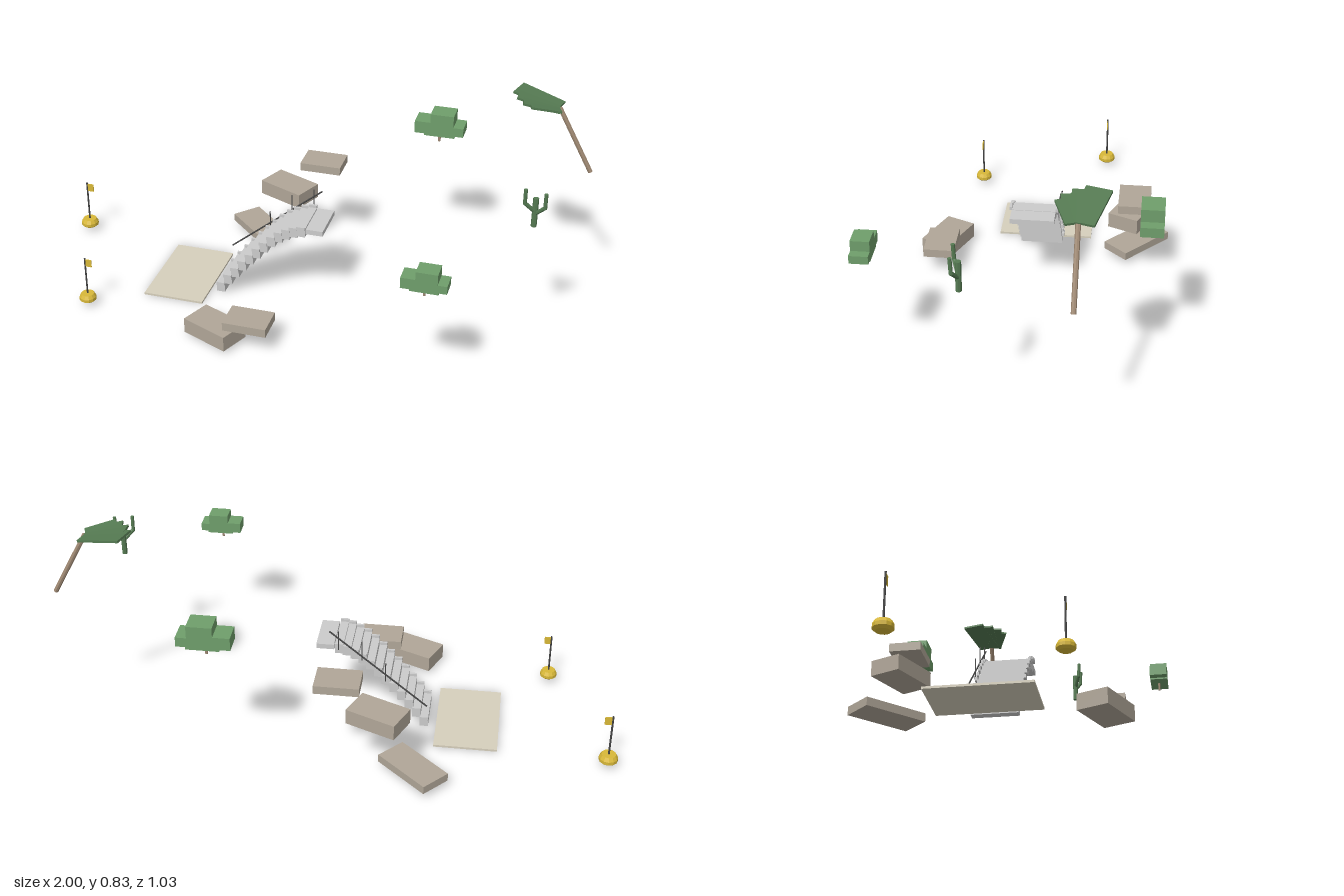
import * as THREE from 'three';

const mat = (color) => new THREE.MeshStandardMaterial({ color, flatShading: true });
const stone = mat(0xcccccc), sand = mat(0xd6cfbc), rockMat = mat(0xb0a698);
const leaf = mat(0x6f9e6b), darkLeaf = mat(0x557a52), bark = mat(0xa08a74);
const metal = mat(0x444444), yellow = mat(0xd8b838);

function add(parent, name, geometry, material, x, y, z) {
  const mesh = new THREE.Mesh(geometry, material);
  mesh.name = name;
  mesh.position.set(x, y, z);
  parent.add(mesh);
  return mesh;
}

// Box given by its centre in x and z and its bottom and top in y
function box(parent, name, material, x, z, y0, y1, w, d, yaw = 0) {
  const mesh = add(parent, name, new THREE.BoxGeometry(w, y1 - y0, d), material, x, (y0 + y1) / 2, z);
  mesh.rotation.y = yaw;
  return mesh;
}

// Straight round bar between two points
function bar(parent, name, material, a, b, r, sides = 8) {
  const p = new THREE.Vector3(...a), q = new THREE.Vector3(...b);
  const dir = q.clone().sub(p), mid = p.clone().add(q).multiplyScalar(0.5);
  const mesh = add(parent, name, new THREE.CylinderGeometry(r, r, dir.length(), sides), material, mid.x, mid.y, mid.z);
  mesh.quaternion.setFromUnitVectors(new THREE.Vector3(0, 1, 0), dir.normalize());
  return mesh;
}

function subgroup(parent, name, x = 0, y = 0, z = 0, scale = 1) {
  const g = new THREE.Group();
  g.name = name;
  g.position.set(x, y, z);
  g.scale.setScalar(scale);
  parent.add(g);
  return g;
}

// Flight of block steps that flattens towards the top, with a handrail
function addStairs(root) {
  const g = subgroup(root, 'stairs');
  const tops = [0.042, 0.08, 0.115, 0.15, 0.183, 0.214, 0.245, 0.274, 0.298, 0.315, 0.328, 0.335];
  const zMid = -0.024;
  tops.forEach((top, i) => {
    const x = -0.3 + 0.0285 * i;
    box(g, 'step', stone, x, zMid, top - 0.034, top, 0.031, 0.16);
    for (const side of [-1, 1])
      box(g, 'stepCurb', stone, x, zMid + side * 0.084, top - 0.003, top + 0.01, 0.03, 0.009);
    if (i === 5 || i === 8 || i === 11)
      bar(g, 'railPost', metal, [x, top - 0.01, -0.119], [x, top + 0.068, -0.119], 0.002, 6);
  });
  box(g, 'landing', stone, 0.064, zMid, 0.316, 0.335, 0.064, 0.16);
  bar(g, 'handrail', metal, [-0.31, 0.108, -0.119], [0.045, 0.4, -0.119], 0.003, 6);
}

// Blocky tree on a short trunk
function addTree(root, x, y, z, scale) {
  const g = subgroup(root, 'tree', x, y, z, scale);
  bar(g, 'trunk', bark, [0, 0, 0], [0, 0.04, 0], 0.005);
  box(g, 'crownCore', leaf, 0.005, 0, 0.036, 0.08, 0.115, 0.078);
  box(g, 'crownTop', leaf, 0.013, 0, 0.078, 0.125, 0.088, 0.078);
  box(g, 'crownLeft', leaf, 0.055, 0, 0.045, 0.08, 0.08, 0.078);
  box(g, 'crownRight', leaf, -0.045, 0, 0.043, 0.09, 0.09, 0.078);
}

// Floating marker with pole and flag
function addBuoy(root, x, z, scale) {
  const g = subgroup(root, 'buoy', x, 0.018, z, scale);
  const profile = [[0, 0], [0.024, 0], [0.034, 0.008], [0.034, 0.02], [0.026, 0.034], [0, 0.034]];
  add(g, 'float', new THREE.LatheGeometry(profile.map((p) => new THREE.Vector2(...p)), 12), yellow, 0, 0, 0);
  bar(g, 'pole', metal, [0, 0.03, 0], [0, 0.196, 0], 0.0035);
  box(g, 'flag', yellow, 0.014, 0, 0.16, 0.192, 0.027, 0.003);
}

function addCactus(root) {
  const g = subgroup(root, 'cactus', 0.847, 0.525, 0.122);
  bar(g, 'stem', darkLeaf, [0, 0, 0], [0, 0.107, 0], 0.01);
  for (const s of [-1, 1]) {
    const h = s < 0 ? 0 : -0.008;
    bar(g, 'armBase', darkLeaf, [0, 0.055 + h, 0], [s * 0.034, 0.092 + h, 0.017], 0.007);
    bar(g, 'armTip', darkLeaf, [s * 0.034, 0.088 + h, 0.017], [s * 0.034, 0.146 + h, 0.02], 0.0065);
  }
}

// Leaning palm with a fan of flat fronds
function addPalm(root) {
  const g = subgroup(root, 'palm', 0.865, 0.798, -0.24);
  bar(g, 'trunk', bark, [0.127, -0.233, 0], [0, 0, 0], 0.0085);
  // yaw, length, width, z offset
  const fronds = [[-0.28, 0.165, 0.085, -0.008], [-0.04, 0.15, 0.07, 0], [0.16, 0.13, 0.07, 0.008], [0.38, 0.11, 0.06, 0.01]];
  fronds.forEach(([yaw, length, width, dz]) => {
    const geo = new THREE.BoxGeometry(length, 0.008, width);
    geo.translate(-length / 2, 0, 0);
    const frond = add(g, 'frond', geo, darkLeaf, 0, 0, dz);
    frond.rotation.set(0, yaw, -0.2, 'YXZ');
  });
}

export function createModel() {
  const root = new THREE.Group();
  root.name = 'cliffStairsScene';

  box(root, 'sandPad', sand, -0.459, -0.034, 0, 0.008, 0.23, 0.36);
  addStairs(root);

  // Rocks: x, z, bottom, top, width, depth, yaw
  const rocks = [
    [-0.225, 0.336, 0.014, 0.072, 0.19, 0.117, -0.405],
    [-0.095, 0.34, 0.082, 0.114, 0.16, 0.115, 0],
    [-0.286, -0.395, 0.025, 0.055, 0.235, 0.115, -0.74],
    [-0.16, -0.382, 0.211, 0.268, 0.19, 0.117, -0.405],
    [-0.023, -0.387, 0.358, 0.389, 0.157, 0.115, 0],
  ];
  rocks.forEach(([x, z, y0, y1, w, d, yaw]) => box(root, 'rock', rockMat, x, z, y0, y1, w, d, yaw));

  addTree(root, 0.41, 0.497, -0.456, 1);
  addTree(root, 0.555, 0.422, 0.484, 0.83);
  addCactus(root);
  addPalm(root);
  addBuoy(root, -0.966, -0.241, 1);
  addBuoy(root, -0.75, 0.266, 0.93);
  return root;
}
